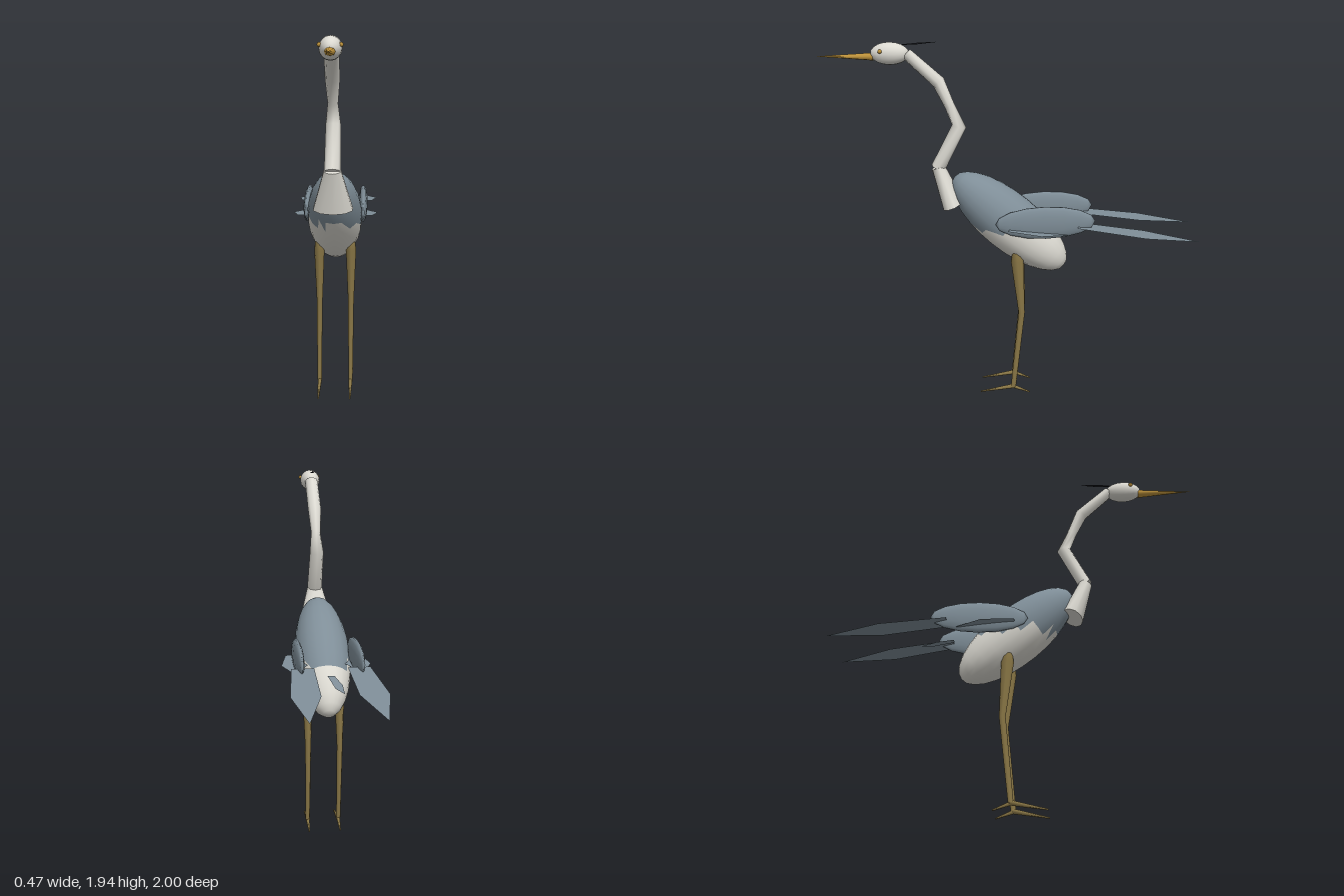
import * as THREE from 'three';

const mat = (name, color, side = THREE.FrontSide) => {
  const m = new THREE.MeshStandardMaterial({ color, side });
  m.name = name;
  return m;
};

// Tapered limb: rings [y, z, radiusX, radiusInPlane] bent in the YZ plane at a fixed x
function limb(x, rings, sides = 8) {
  const pos = [], index = [], n = rings.length;
  const ring = (i) => {
    const [y, z, rx, r] = rings[i];
    const a = rings[Math.max(i - 1, 0)], b = rings[Math.min(i + 1, n - 1)];
    const len = Math.hypot(b[0] - a[0], b[1] - a[1]);
    const ty = (b[0] - a[0]) / len, tz = (b[1] - a[1]) / len;
    for (let j = 0; j < sides; j++) {
      const t = (j / sides) * Math.PI * 2;
      pos.push(x + Math.sin(t) * rx, y - tz * Math.cos(t) * r, z + ty * Math.cos(t) * r);
    }
  };
  for (let i = 0; i < n; i++) ring(i);
  for (let i = 0; i < n - 1; i++) {
    for (let j = 0; j < sides; j++) {
      const k = (j + 1) % sides;
      const a = i * sides + j, b = i * sides + k, c = b + sides, d = a + sides;
      index.push(a, b, c, a, c, d);
    }
  }
  // Flat end caps with their own vertices
  const start = n * sides, end = start + sides;
  ring(0);
  ring(n - 1);
  for (let j = 1; j < sides - 1; j++) {
    index.push(start, start + j + 1, start + j, end, end + j, end + j + 1);
  }
  const g = new THREE.BufferGeometry();
  g.setAttribute('position', new THREE.Float32BufferAttribute(pos, 3));
  g.setIndex(index);
  g.computeVertexNormals();
  return g;
}

// Flat feather outlined by [x, z] points, sloping along z
function feather(points, side, y0, slope) {
  const shape = new THREE.Shape(points.map(([x, z]) => new THREE.Vector2(x * side, -z)));
  const g = new THREE.ShapeGeometry(shape).rotateX(-Math.PI / 2);
  const p = g.attributes.position;
  for (let i = 0; i < p.count; i++) p.setY(i, y0 + slope * p.getZ(i));
  g.computeVertexNormals();
  return g;
}

// Tilted egg body: faces above the flank line use the first material
function bodyGeometry(lineY) {
  const g = new THREE.SphereGeometry(1, 20, 14);
  g.scale(0.147, 0.385, 0.155).rotateX((50 * Math.PI) / 180).translate(0, 0.985, 0);
  const p = g.attributes.position, idx = g.index.array, upper = [], lower = [];
  for (let i = 0; i < idx.length; i += 3) {
    const tri = [idx[i], idx[i + 1], idx[i + 2]];
    const y = tri.reduce((s, v) => s + p.getY(v), 0) / 3;
    (y > lineY ? upper : lower).push(...tri);
  }
  g.setIndex([...upper, ...lower]);
  g.addGroup(0, upper.length, 0);
  g.addGroup(upper.length, lower.length, 1);
  return g;
}

export function createModel() {
  const model = new THREE.Group();
  model.name = 'wadingBird';
  const white = mat('pale plumage', 0xdcdad2);
  const grey = mat('slate plumage', 0x7f8e98);
  const quill = mat('slate feather', 0x7f8e98, THREE.DoubleSide);
  const tan = mat('beak gold', 0xc0943c);
  const brown = mat('leg brown', 0x8a7746);
  const black = mat('crest black', 0x24262c);
  const add = (name, geometry, material) => {
    const m = new THREE.Mesh(geometry, material);
    m.name = name;
    model.add(m);
    return m;
  };
  const ball = (rx, ry, rz, x, y, z, w = 16, h = 10) =>
    new THREE.SphereGeometry(1, w, h).rotateX(Math.PI / 2).scale(rx, ry, rz).translate(x, y, z);

  // Body, neck and head
  add('body', bodyGeometry(0.97), [grey, white]);
  add('neck', limb(0, [
    [1.88, 0.53, 0.036, 0.03], [1.735, 0.368, 0.037, 0.035], [1.61, 0.312, 0.026, 0.027],
    [1.505, 0.265, 0.038, 0.038], [1.28, 0.38, 0.042, 0.038],
  ]), white);
  add('neckBase', limb(0, [[1.285, 0.38, 0.045, 0.036], [1.08, 0.303, 0.105, 0.06]], 10), white);
  add('head', ball(0.055, 0.058, 0.1, 0, 1.88, 0.615), white);
  const beak = new THREE.ConeGeometry(1, 0.3, 8).rotateX(Math.PI / 2);
  beak.scale(0.026, 0.02, 1).translate(0, 1.864, 0.85);
  add('beak', beak, tan);

  // Crest plume: slim flattened spindle
  add('crest', limb(0, [
    [1.925, 0.55, 0.003, 0.002], [1.931, 0.47, 0.01, 0.004], [1.939, 0.375, 0.001, 0.001],
  ], 6), black);

  // Tail feather
  add('tailFeather', feather(
    [[0.015, -0.34], [-0.02, -0.34], [-0.05, -0.43], [-0.05, -0.51], [-0.01, -0.46]],
    1, 1.056, 0.276), quill);

  for (const s of [1, -1]) {
    const label = s > 0 ? 'left' : 'right';
    add(label + 'Eye', ball(0.011, 0.011, 0.011, s * 0.05, 1.895, 0.658, 8, 6), tan);

    // Wing with two flat flight feathers
    const wing = ball(0.025, 0.088, 0.26, 0, 0, 0, 14, 8);
    wing.rotateX(0.05).translate(s * 0.152, 1.026, -0.19);
    add(label + 'Wing', wing, grey);
    add(label + 'PrimaryFeather', feather(
      [[0.085, -0.36], [0.2, -0.36], [0.235, -0.71], [0.175, -1], [0.09, -0.71]],
      s, 1.052, 0.117), quill);
    add(label + 'SecondaryFeather', feather(
      [[0.09, 0], [0.2, 0], [0.235, -0.17], [0.175, -0.31], [0.1, -0.17]],
      s, 0.99, 0.08), quill);

    // Leg with a backward knee, front toe and hind toe
    add(label + 'Leg', limb(s * 0.087, [
      [0.84, -0.04, 0.022, 0.024], [0.79, -0.043, 0.028, 0.034],
      [0.49, -0.068, 0.016, 0.017], [0.045, -0.024, 0.012, 0.014],
    ]), brown);
    add(label + 'FrontToe', limb(s * 0.086, [[0.045, -0.03, 0.013, 0.014], [0.007, 0.16, 0.004, 0.004]], 6), brown);
    add(label + 'HindToe', limb(s * 0.086, [[0.045, -0.015, 0.012, 0.012], [0.008, -0.115, 0.004, 0.004]], 6), brown);
  }
  return model;
}
